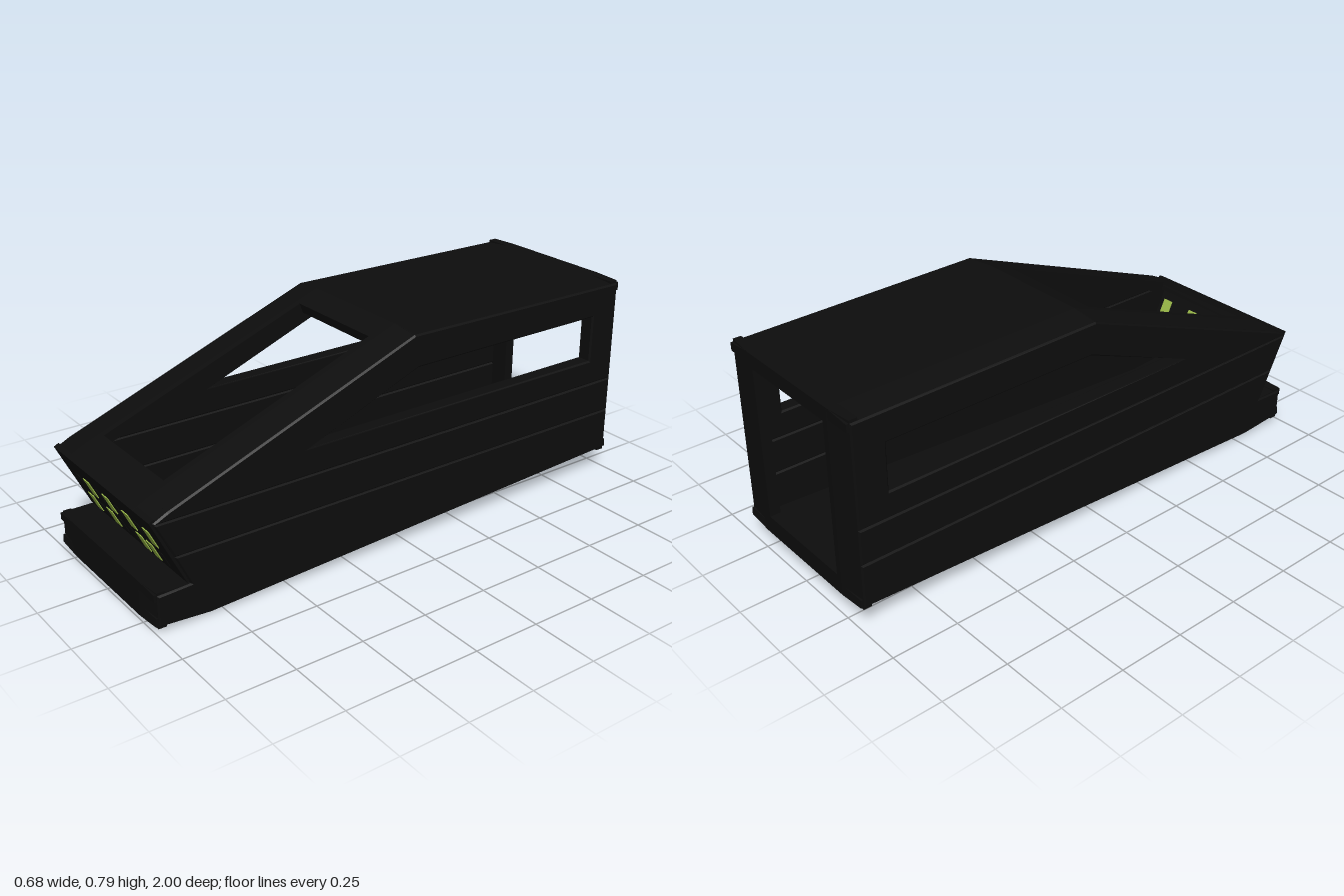
import * as THREE from 'three';

const bodyPaint = new THREE.MeshStandardMaterial({ color: 0x0d0d0d, flatShading: true });
bodyPaint.name = 'body black';
const lampGreen = new THREE.MeshStandardMaterial({ color: 0x9dbd4a, flatShading: true });
lampGreen.name = 'lamp green';

// Side outline as [z, y] corners
const tail = [-1, 0.08], roofBack = [-1, 0.775], roofFront = [-0.02, 0.785];
const brow = [0.94, 0.425], nose = [1, 0.395], sill = [0.88, 0.145];
const bumperTop = [1, 0.145], bumperBottom = [1, 0.015], keel = [0.8, 0];
const HALF = 0.335;

const between = (a, b, t) => [a[0] + (b[0] - a[0]) * t, a[1] + (b[1] - a[1]) * t];

// Places geometry so its z runs from a to b and its y points out of the body
function alongSegment(geometry, a, b) {
  const d = new THREE.Vector3(0, b[1] - a[1], b[0] - a[0]).normalize();
  const x = new THREE.Vector3(1, 0, 0);
  const m = new THREE.Matrix4().makeBasis(x, d.clone().cross(x), d);
  m.setPosition(0, a[1], a[0]);
  return geometry.applyMatrix4(m);
}

// Slightly crowned plate spanning x0..x1 between two outline points
function plate(name, a, b, { x0 = -HALF, x1 = HALF, thick = 0.04, crown = 0.01 } = {}) {
  const height = (x) => -crown * Math.max(0, (Math.abs(x) - 0.23) / (HALF - 0.23));
  const top = [x0, -0.23, 0.23, x1].filter((x) => x >= x0 && x <= x1);
  const points = top.map((x) => new THREE.Vector2(x, height(x)));
  points.push(new THREE.Vector2(x1, -thick), new THREE.Vector2(x0, -thick));
  const depth = Math.hypot(b[0] - a[0], b[1] - a[1]);
  const geometry = new THREE.ExtrudeGeometry(new THREE.Shape(points), { depth, bevelEnabled: false });
  const mesh = new THREE.Mesh(alongSegment(geometry, a, b), bodyPaint);
  mesh.name = name;
  return mesh;
}

// Side wall layer; the bevelled edges of stacked layers form the grooves
function wallLayer(name, outline, hole) {
  const shape = new THREE.Shape(outline.map((p) => new THREE.Vector2(...p)));
  if (hole) shape.holes.push(new THREE.Path(hole.map((p) => new THREE.Vector2(...p))));
  const geometry = new THREE.ExtrudeGeometry(shape, {
    depth: 0.048, bevelSize: 0.006, bevelThickness: 0.006, bevelOffset: -0.006, bevelSegments: 1,
  });
  geometry.translate(0, 0, -0.024).rotateY(-Math.PI / 2);
  const mesh = new THREE.Mesh(geometry, bodyPaint);
  mesh.name = name;
  return mesh;
}

export function createModel() {
  const model = new THREE.Group();
  model.name = 'wedge van body';

  // Side walls with their long windows
  for (const side of [-1, 1]) {
    const wall = new THREE.Group();
    wall.name = side > 0 ? 'leftWall' : 'rightWall';
    wall.position.x = side * 0.312;
    wall.add(
      wallLayer('lowerSide', [[-0.99, 0.09], [0.8, 0.01], [0.99, 0.024], [0.99, 0.136],
        [0.868, 0.14], [0.92, 0.252], [-0.99, 0.252]]),
      wallLayer('middleSide', [[-0.99, 0.252], [0.92, 0.252], [0.985, 0.384], [-0.99, 0.384]]),
      wallLayer('upperSide', [[-0.99, 0.384], [0.985, 0.384], [0.988, 0.391], [0.936, 0.416],
        [-0.022, 0.775], [-0.99, 0.765]],
      [[0.42, 0.48], [-0.04, 0.655], [-0.87, 0.655], [-0.87, 0.48]]),
    );
    model.add(wall);
  }

  // Roof, nose, bumper and floor
  model.add(
    plate('roof', roofBack, roofFront),
    plate('noseLip', brow, nose, { thick: 0.02 }),
    plate('frontPanel', nose, sill, { thick: 0.02, crown: 0 }),
    plate('bumperTop', sill, bumperTop, { thick: 0.03, crown: 0.004 }),
    plate('bumperFace', bumperTop, bumperBottom),
    plate('bumperUnderside', bumperBottom, keel),
    plate('floor', keel, tail),
  );

  // Windscreen frame
  const screenTop = between(roofFront, brow, 0.095), screenBottom = between(roofFront, brow, 0.93);
  model.add(
    plate('windscreenHeader', roofFront, screenTop),
    plate('windscreenSill', screenBottom, brow, { thick: 0.03 }),
    plate('windscreenPillarLeft', screenTop, screenBottom, { x0: 0.205 }),
    plate('windscreenPillarRight', screenTop, screenBottom, { x1: -0.205 }),
  );

  // Rear opening frame
  const rearBottom = [-1, 0.15], rearTop = [-1, 0.72];
  model.add(
    plate('rearSill', tail, rearBottom),
    plate('rearHeader', rearTop, roofBack),
    plate('rearPillarLeft', rearBottom, rearTop, { x0: 0.205 }),
    plate('rearPillarRight', rearBottom, rearTop, { x1: -0.205 }),
  );

  // Two rows of lamps set through the front panel: 1 lit, 0 dark
  const rows = [
    { y: 0.289, lit: [0, 1, 0, 1, 0, 1, 0, 1] },
    { y: 0.196, lit: [1, 0, 1, 0, 0, 1, 1, 0] },
  ];
  const slope = Math.hypot(nose[0] - sill[0], nose[1] - sill[1]);
  for (const { y, lit } of rows) {
    const along = slope * (nose[1] - y) / (nose[1] - sill[1]);
    lit.forEach((on, i) => {
      const size = on ? [0.043, 0.026, 0.075] : [0.024, 0.004, 0.055];
      const geometry = new THREE.BoxGeometry(...size);
      geometry.translate((i - 3.5) * 0.069, on ? -0.01 : 0, along);
      const lamp = new THREE.Mesh(alongSegment(geometry, nose, sill), on ? lampGreen : bodyPaint);
      lamp.name = on ? 'litLamp' : 'darkLamp';
      model.add(lamp);
    });
  }
  return model;
}
